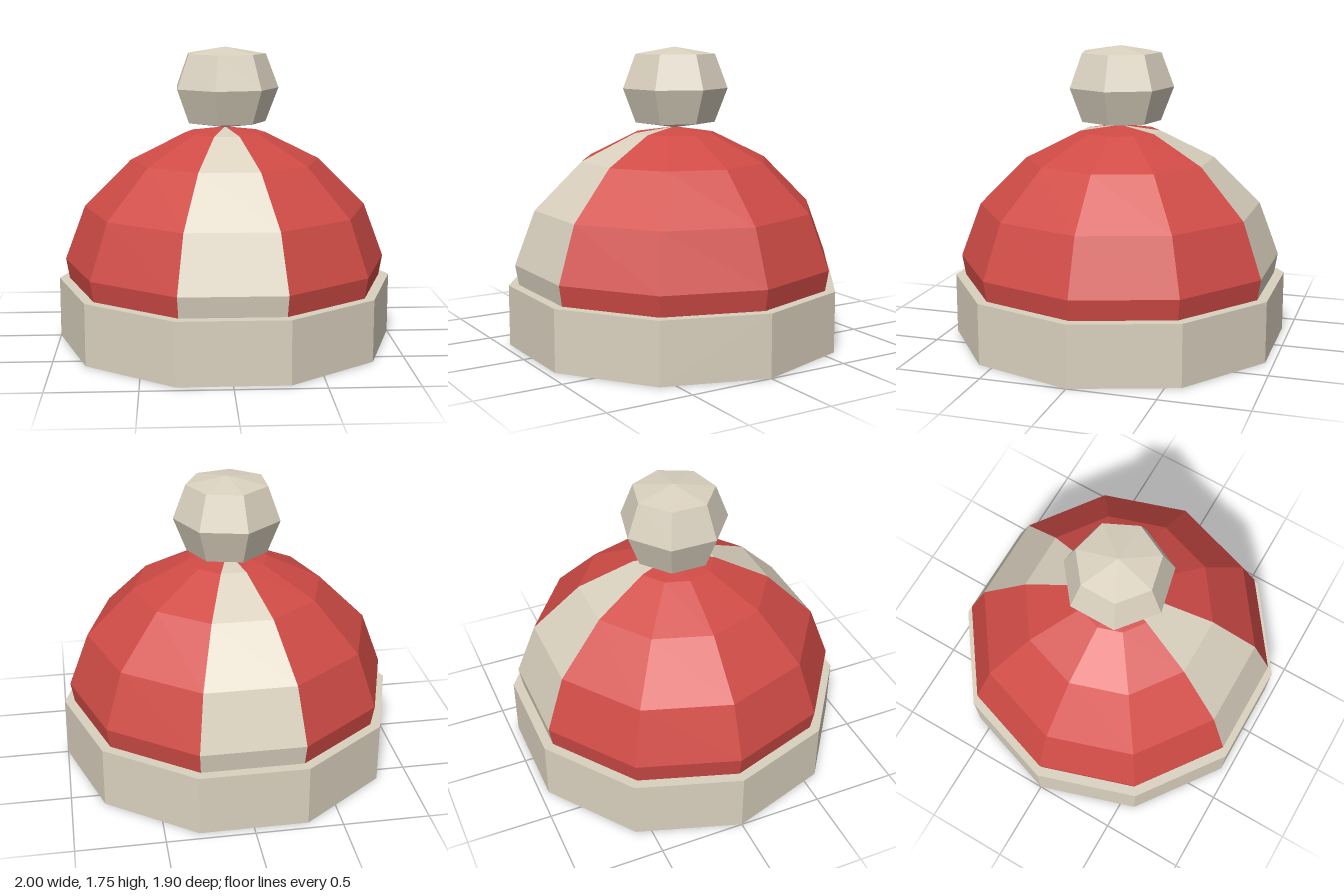
import * as THREE from 'three';

const DEG = Math.PI / 180;

export function createModel() {
  const model = new THREE.Group();
  model.name = 'bobbleHat';

  const cream = new THREE.MeshStandardMaterial({ color: 0xdad1bf });
  cream.name = 'cream wool';
  const red = new THREE.MeshStandardMaterial({ color: 0xd04b46 });
  red.name = 'red wool';

  // Adds a faceted mesh with hard edges
  function add(name, geometry, material) {
    const faceted = geometry.toNonIndexed();
    faceted.computeVertexNormals();
    const mesh = new THREE.Mesh(faceted, material);
    mesh.name = name;
    model.add(mesh);
  }

  // Turns a [radius, height] profile around y, angles in degrees from +z
  function turned(profile, sides, start, sweep) {
    const points = profile.map(([r, y]) => new THREE.Vector2(r, y));
    return new THREE.LatheGeometry(points, sides, start * DEG, sweep * DEG);
  }

  // Ten-sided folded brim, with corners on the x axis
  const brim = new THREE.CylinderGeometry(1, 1, 0.36, 10, 1, false, Math.PI / 2);
  brim.translate(0, 0.18, 0);
  add('brim', brim, cream);

  // Crown of ten gores: a cream one at front and back, four red ones per side
  const crown = [[0.938, 0.35], [0.96, 0.48], [0.84, 0.8], [0.56, 1.08], [0.238, 1.24], [0, 1.275]];
  add('frontStripe', turned(crown, 1, -18, 36), cream);
  add('leftCrown', turned(crown, 4, 18, 144), red);
  add('backStripe', turned(crown, 1, 162, 36), cream);
  add('rightCrown', turned(crown, 4, 198, 144), red);

  // Seven-sided pompom
  const ball = [[0, 1.27], [0.24, 1.305], [0.316, 1.505], [0.24, 1.705], [0, 1.745]];
  add('pompom', turned(ball, 7, 90, 360), cream);

  return model;
}
